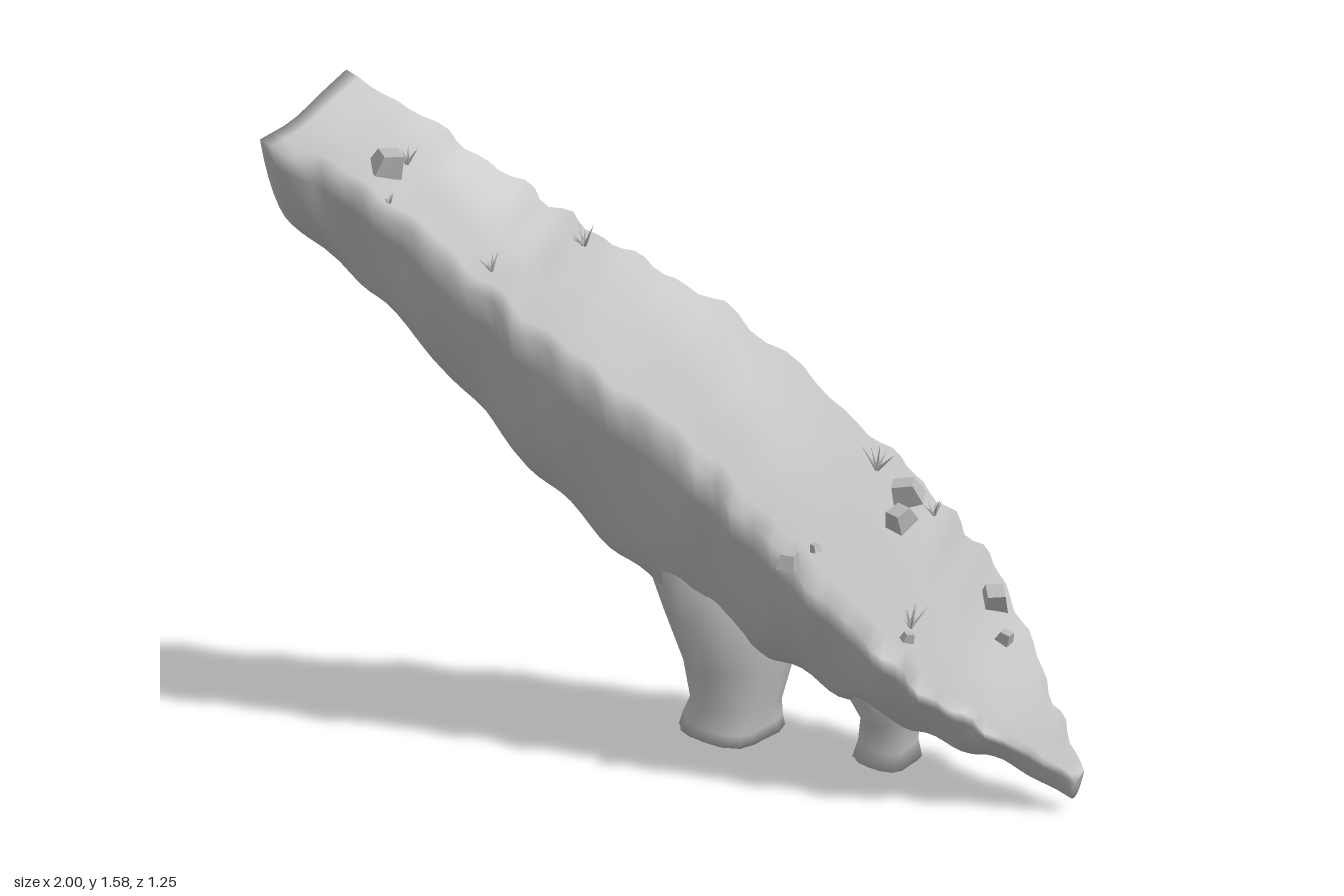
import * as THREE from 'three';

const V = (x, y, z) => new THREE.Vector3(x, y, z);
const stone = new THREE.MeshStandardMaterial({ color: 0xb6b6b6 });
stone.name = 'grey stone';

// Small seeded random numbers
let seed = 7;
const rnd = () => (seed = (seed * 16807) % 2147483647) / 2147483647;

// Smooth skin over closed rings of points, closed at both ends
function loft(rings) {
  const n = rings[0].length, pos = [], idx = [];
  const put = p => pos.push(p.x, p.y, p.z) / 3 - 1;
  rings.forEach(r => r.forEach(put));
  for (let i = 0; i < rings.length - 1; i++)
    for (let j = 0; j < n; j++) {
      const k = (j + 1) % n, a = i * n + j, b = i * n + k, c = b + n, d = a + n;
      idx.push(a, d, b, b, d, c);
    }
  for (const i of [0, rings.length - 1]) {
    const mid = put(rings[i].reduce((s, p) => s.add(p), V(0, 0, 0)).divideScalar(n));
    for (let j = 0; j < n; j++) {
      const a = i * n + j, b = i * n + (j + 1) % n;
      i ? idx.push(mid, b, a) : idx.push(mid, a, b);
    }
  }
  const g = new THREE.BufferGeometry();
  g.setAttribute('position', new THREE.Float32BufferAttribute(pos, 3));
  g.setIndex(idx);
  g.computeVertexNormals();
  return g;
}

// Front edge, back edge and keel of the ramp, from the high end to the low tip
const curve = pts => new THREE.CatmullRomCurve3(pts.map(p => V(...p)));
const frontEdge = curve([[-1, 1.49, -.33], [-.75, 1.36, -.27], [-.5, 1.16, -.15], [-.25, .98, 0], [0, .81, .13],
  [.2, .64, .27], [.4, .46, .43], [.6, .3, .55], [.78, .19, .58], [.96, .1, .63]]);
const backEdge = curve([[-.77, 1.58, -.62], [-.5, 1.42, -.54], [-.27, 1.27, -.48], [-.08, 1.16, -.4], [.17, 1.02, -.36],
  [.5, .75, -.22], [.68, .6, -.08], [.82, .46, .1], [.92, .26, .36], [1, .1, .6]]);
const keel = curve([[-.88, 1.22, -.46], [-.66, 1.02, -.43], [-.4, .73, -.36], [-.18, .51, -.24], [.02, .36, -.1],
  [.25, .24, 0], [.45, .17, .15], [.64, .11, .28], [.82, .08, .43], [.97, .03, .6]]);
const LAST = 9;

// Edge of the ramp with a jagged outline; rough scales the jaggedness
function rim(t, side, rough = 1) {
  const f = frontEdge.getPoint(t / LAST), b = backEdge.getPoint(t / LAST);
  const out = b.clone().sub(f).normalize();
  const w = Math.sin(t * 8.3 + side + Math.sin(t * 3)) * .011 + Math.sin(t * 14.1 + side * 2) * .009;
  return (side < 0 ? f : b).addScaledVector(out, side * w * rough * Math.min(1, t * 2, (LAST - t) * 1.2));
}

// Point on a side wall: s = 0 at the rim, 1 at the keel
function wall(t, s, side) {
  const e = rim(t, side, (1 - s) ** 2), k = keel.getPoint(t / LAST), a = s * Math.PI / 2;
  const mix = side > 0 ? .85 : .6;
  const v = Math.sin(a), h = (1 - mix) * (1 - Math.cos(a)) + mix * s;
  const fade = Math.min(1, t * 2, (LAST - t) * .7);
  const lump = fade * Math.sin(s * Math.PI) * (.013 * Math.sin(t * 5.1 + s * 4 + side) + .007 * Math.sin(t * 8.7 - s * 7));
  const dir = e.clone().sub(k).setY(0).normalize();
  const p = V(e.x + (k.x - e.x) * h, e.y + (k.y - e.y) * v, e.z + (k.z - e.z) * h).addScaledVector(dir, lump);
  p.y += fade * s * s * .014 * Math.sin(t * 7.3);
  return p;
}

function rampGeometry() {
  const rings = [], N = 80;
  for (let i = 0; i <= N; i++) {
    const t = i / N * LAST, f = rim(t, -1), b = rim(t, 1), ring = [];
    // Slightly hollow top; the doubled point on the back rim keeps it sharp
    for (let j = 0; j <= 7; j++) {
      const p = f.clone().lerp(b, j / 7);
      p.y -= Math.sin(j / 7 * Math.PI) * (.014 + .006 * Math.sin(t * 2.6 + j * .8)) * Math.min(1, (LAST - t) * .5);
      ring.push(p);
    }
    for (let j = 0; j < 8; j++) ring.push(wall(t, j / 8, 1));
    for (let j = 8; j > 0; j--) ring.push(wall(t, j / 8, -1));
    rings.push(ring);
  }
  return loft(rings);
}

// Leg from levels [y, centre x, centre z, radius x, radius z]
function legGeometry(levels) {
  return loft(levels.map(([y, cx, cz, rx, rz], i) => Array.from({ length: 18 }, (_, j) => {
    const a = j / 18 * Math.PI * 2, r = 1 + .07 * Math.sin(3 * a + 1) + .05 * Math.sin(5 * a + i * .4);
    return V(cx + Math.cos(a) * rx * r, y + (i > levels.length - 3 ? .012 * Math.sin(a * 2 + 1) : 0), cz - Math.sin(a) * rz * r);
  })));
}

// Tapered root along points
function rootGeometry(pts, r0, r1, steps) {
  const c = new THREE.CatmullRomCurve3(pts), fr = c.computeFrenetFrames(steps);
  return loft(fr.tangents.map((_, i) => {
    const p = c.getPointAt(i / steps), r = r0 + (r1 - r0) * i / steps;
    return Array.from({ length: 7 }, (_, j) => {
      const a = j / 7 * Math.PI * 2;
      return p.clone().addScaledVector(fr.normals[i], Math.cos(a) * r).addScaledVector(fr.binormals[i], -Math.sin(a) * r);
    });
  }));
}

// Loose stone: a faceted block with a narrower top
function pebbleGeometry(size) {
  const g = new THREE.BoxGeometry(size, size * .75, size * .85).toNonIndexed();
  const p = g.attributes.position;
  for (let i = 0; i < p.count; i++)
    if (p.getY(i) > 0) p.setXYZ(i, p.getX(i) * .7, p.getY(i) + p.getX(i) * .12, p.getZ(i) * .72);
  g.computeVertexNormals();
  return g;
}

export function createModel() {
  const model = new THREE.Group();
  const add = (name, geo, parent = model) => {
    const m = new THREE.Mesh(geo, stone);
    m.name = name;
    parent.add(m);
    return m;
  };

  add('rockRamp', rampGeometry());
  add('largeLeg', legGeometry([[.6, .1, -.13, .12, .08], [.45, .125, -.1, .18, .13], [.32, .155, -.065, .165, .14],
    [.2, .165, -.04, .13, .115], [.11, .16, -.03, .11, .1], [.06, .15, -.035, .122, .12], [.03, .148, -.04, .13, .13]]));
  add('smallLeg', legGeometry([[.3, .53, .19, .1, .09], [.2, .525, .2, .105, .095], [.12, .535, .2, .07, .062],
    [.06, .53, .2, .072, .062], [.015, .525, .2, .084, .068]]));

  // Main root clinging to the back wall, with thin roots hanging from it
  const roots = new THREE.Group();
  roots.name = 'roots';
  model.add(roots);
  const onWall = (t, s) => wall(t, s, 1).add(V(.006, 0, -.01));
  const path = [[7.5, .4], [7.1, .44], [6.7, .36], [6.3, .42], [5.9, .34], [5.4, .33], [5, .34], [4.6, .29], [4.2, .27],
    [3.8, .25], [3.4, .29], [3, .34], [2.5, .37], [2.1, .45], [1.7, .44], [1.3, .4], [1, .36]];
  add('mainRoot', rootGeometry(path.map(q => onWall(...q)), .02, .012, 90), roots);
  const hanging = [[7.1, .44, .08], [6.3, .42, .17], [5.4, .33, .2], [5, .34, .36], [4.2, .27, .2],
    [3, .34, .2], [2.5, .37, .13], [1.7, .44, .1]];
  for (const [t, s, len] of hanging) {
    const p = onWall(t, s);
    const pts = [p];
    for (let k = 1; k <= 5; k++)
      pts.push(p.clone().add(V((rnd() - .5) * .04, -len * k / 5, -.008 + (rnd() - .5) * .03)));
    add('hangingRoot', rootGeometry(pts, .011, .002, 16), roots);
    const fork = pts[2];
    add('rootFork', rootGeometry([fork, fork.clone().add(V(.015, -.02, -.01)), fork.clone().add(V(.015, -.06, -.012))], .006, .0015, 6), roots);
  }

  // Loose stones on the slope: x, y, z, size
  const pebbles = [[-.68, 1.41, -.38, .075], [.28, .575, .33, .055], [.35, .59, .27, .026], [.59, .65, 0, .075],
    [.57, .61, .08, .065], [.8, .43, .19, .072], [.82, .365, .31, .038], [.57, .41, .45, .03]];
  pebbles.forEach(([x, y, z, s], i) => {
    const m = add('looseStone', pebbleGeometry(s));
    m.position.set(x, y, z);
    m.rotation.set(.25, i * .9 + .3, -.35);
  });

  // Grass tufts: x, y, z, height
  const tufts = [[-.43, 1.18, -.2, .05], [-.19, 1.18, -.39, .07], [.52, .69, -.06, .08], [.66, .59, 0, .06],
    [.58, .42, .4, .065], [-.63, 1.4, -.4, .05], [-.68, 1.33, -.29, .03]];
  for (const [x, y, z, h] of tufts) {
    const tuft = new THREE.Group();
    tuft.name = 'grassTuft';
    tuft.position.set(x, y, z);
    model.add(tuft);
    for (let k = 0; k < 7; k++) {
      const len = h * (.6 + rnd() * .5);
      const blade = add('grassBlade', new THREE.ConeGeometry(.005, len, 4).translate(0, len / 2, 0), tuft);
      blade.rotation.set(0, k * .9, .2 + rnd() * .7, 'YXZ');
    }
  }
  return model;
}
